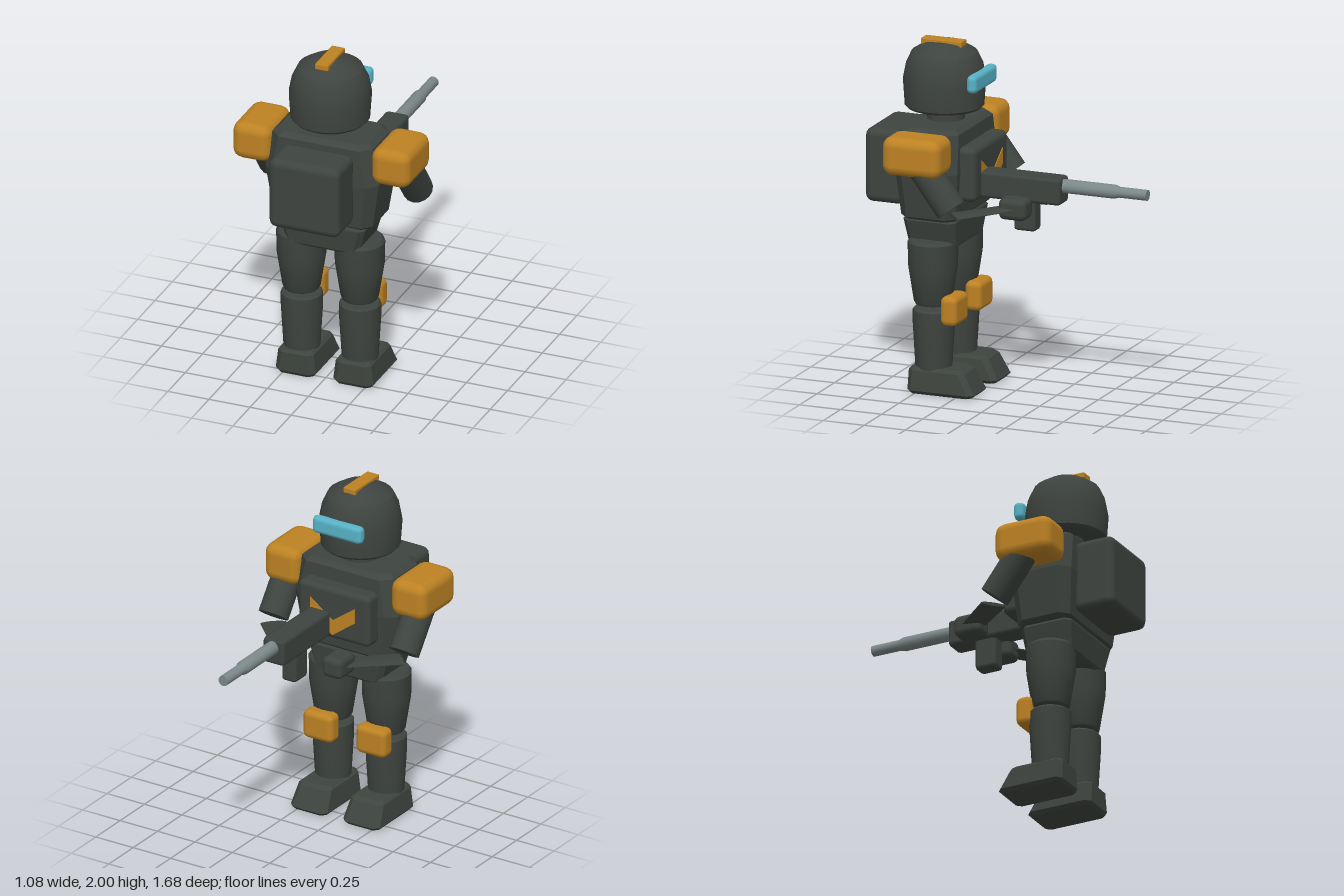
import * as THREE from 'three';
import { toCreasedNormals } from 'three/addons/utils/BufferGeometryUtils.js';
import { RoundedBoxGeometry } from 'three/addons/geometries/RoundedBoxGeometry.js';

const material = (name, color) => {
  const m = new THREE.MeshStandardMaterial({ color });
  m.name = name;
  return m;
};

export function createModel() {
  const armour = material('dark armour', 0x3e443f);
  const amber = material('amber trim', 0xbd8223);
  const glass = material('cyan glass', 0x58b4c8);
  const steel = material('gun steel', 0x7c8888);

  const model = new THREE.Group();
  model.name = 'armouredTrooper';

  const add = (name, geometry, mat, x = 0, y = 0, z = 0) => {
    const mesh = new THREE.Mesh(geometry, mat);
    mesh.name = name;
    mesh.position.set(x, y, z);
    model.add(mesh);
    return mesh;
  };

  // Rounded box given by its limits on each axis
  const block = (name, mat, [x0, x1], [y0, y1], [z0, z1], radius, segments = 2) =>
    add(name, new RoundedBoxGeometry(x1 - x0, y1 - y0, z1 - z0, segments, radius), mat,
      (x0 + x1) / 2, (y0 + y1) / 2, (z0 + z1) / 2);

  // Turned part from [radius, height] points, bottom to top
  const turned = (points, sides) => toCreasedNormals(
    new THREE.LatheGeometry(points.map(([r, y]) => new THREE.Vector2(r, y)), sides), 0.6);

  // Stack of corner-cut rectangles: [y, halfWidth, zMin, zMax, cornerCut]
  const loft = (rings) => {
    const positions = [];
    const outlines = rings.map(([y, w, a, b, c]) => [
      [w, a + c], [w, b - c], [w - c, b], [-w + c, b],
      [-w, b - c], [-w, a + c], [-w + c, a], [w - c, a],
    ].map(([x, z]) => [x, y, z]));
    const tri = (...corners) => corners.forEach((p) => positions.push(...p));
    for (let r = 0; r < outlines.length - 1; r++) {
      const lo = outlines[r], hi = outlines[r + 1];
      for (let i = 0; i < 8; i++) {
        const j = (i + 1) % 8;
        tri(lo[i], hi[i], hi[j]);
        tri(lo[i], hi[j], lo[j]);
      }
    }
    const bottom = outlines[0], top = outlines[outlines.length - 1];
    for (let i = 1; i < 7; i++) {
      tri(bottom[0], bottom[i], bottom[i + 1]);
      tri(top[0], top[i + 1], top[i]);
    }
    const g = new THREE.BufferGeometry();
    g.setAttribute('position', new THREE.Float32BufferAttribute(positions, 3));
    g.computeVertexNormals();
    return g;
  };

  // Round limb between two points, optionally flattened
  const limb = (name, from, to, r0, r1, flatten = 1) => {
    const a = new THREE.Vector3(...from), b = new THREE.Vector3(...to);
    const g = new THREE.CylinderGeometry(r1, r0, a.distanceTo(b), 16);
    g.rotateX(Math.PI / 2).scale(1, flatten, 1);
    const mid = a.clone().lerp(b, 0.5);
    add(name, g, armour, mid.x, mid.y, mid.z).lookAt(b);
  };

  // Helmet, crest, visor and neck
  add('helmet', turned([[0, 1.61], [0.21, 1.61], [0.225, 1.625], [0.235, 1.77], [0.218, 1.86],
    [0.185, 1.93], [0.105, 1.98], [0, 1.99]], 24), armour, 0, 0, 0.435);
  block('helmetCrest', amber, [-0.04, 0.04], [1.965, 2], [0.317, 0.565], 0.005, 1);
  block('visor', glass, [-0.165, 0.165], [1.74, 1.845], [0.176, 0.24], 0.028, 1);
  add('neck', new THREE.CylinderGeometry(0.107, 0.107, 0.14, 20), armour, 0, 1.58, 0.427);

  // Torso and hips
  add('torso', loft([
    [1.015, 0.285, 0.275, 0.575, 0.04], [1.03, 0.302, 0.26, 0.592, 0.05],
    [1.3, 0.345, 0.237, 0.615, 0.06], [1.52, 0.305, 0.245, 0.605, 0.06],
    [1.545, 0.275, 0.275, 0.575, 0.05],
  ]), armour);
  add('hips', loft([
    [0.84, 0.2, 0.3, 0.555, 0.03], [0.855, 0.222, 0.285, 0.57, 0.03],
    [1.0, 0.262, 0.27, 0.587, 0.03], [1.02, 0.25, 0.28, 0.575, 0.03],
  ]), armour);
  block('chestPlate', armour, [-0.24, 0.24], [1.13, 1.445], [0.148, 0.27], 0.035);
  block('backpack', armour, [-0.215, 0.215], [1.062, 1.492], [0.585, 0.837], 0.045);

  // Chevron on the chest plate
  const chevron = new THREE.Shape([[-0.15, 1.36], [-0.15, 1.27], [0, 1.16], [0.15, 1.27],
    [0.15, 1.36], [0, 1.25]].map(([x, y]) => new THREE.Vector2(x, y)));
  add('chestChevron', new THREE.ExtrudeGeometry(chevron, { depth: 0.008, bevelEnabled: false }),
    amber, 0, 0, 0.143);

  // Paired limbs
  for (const s of [1, -1]) {
    const side = s > 0 ? 'left' : 'right';
    const span = (a, b) => (s > 0 ? [a, b] : [-b, -a]);

    block(side + 'ShoulderPad', amber, span(0.305, 0.54), [1.32, 1.545], [0.247, 0.602], 0.06);
    limb(side + 'UpperArm', [s * 0.437, 1.42, 0.42], [s * 0.437, 1.14, 0.21], 0.088, 0.088);
    limb(side + 'Forearm', [s * 0.43, 1.1, 0.2], [s * 0.185, 1.12, -0.07], 0.075, 0.065, 0.14);
    block(side + 'Hand', armour, span(0.117, 0.25), [1.055, 1.18], [-0.158, 0.01], 0.035);

    add(side + 'Thigh', turned([[0, 0.51], [0.1, 0.51], [0.108, 0.525], [0.14, 0.73],
      [0.143, 0.87], [0.13, 0.888], [0, 0.888]], 16), armour, s * 0.177, 0, 0.43);
    add(side + 'Shin', turned([[0, 0.13], [0.103, 0.13], [0.119, 0.4], [0.119, 0.475],
      [0.109, 0.487], [0, 0.487]], 16), armour, s * 0.177, 0, 0.425);
    block(side + 'KneePad', amber, span(0.077, 0.277), [0.405, 0.577], [0.25, 0.352], 0.035);
    add(side + 'Foot', loft([
      [0, 0.105, 0.165, 0.535, 0.025], [0.02, 0.122, 0.146, 0.548, 0.03],
      [0.135, 0.108, 0.208, 0.545, 0.03], [0.152, 0.09, 0.235, 0.53, 0.025],
    ]), armour, s * 0.175);
  }

  // Rifle held across the chest, pointing along -z
  block('rifleBody', armour, [0.018, 0.16], [1.145, 1.3], [-0.333, 0.16], 0.022, 1);
  block('rifleMagazine', armour, [0.04, 0.138], [0.972, 1.17], [-0.173, -0.04], 0.02, 1);
  const barrel = turned([[0, 0.3], [0.04, 0.3], [0.04, 0.64], [0.031, 0.67], [0.031, 0.84],
    [0, 0.84]], 16);
  barrel.rotateX(-Math.PI / 2);
  add('rifleBarrel', barrel, steel, 0.09, 1.25, 0);

  return model;
}
